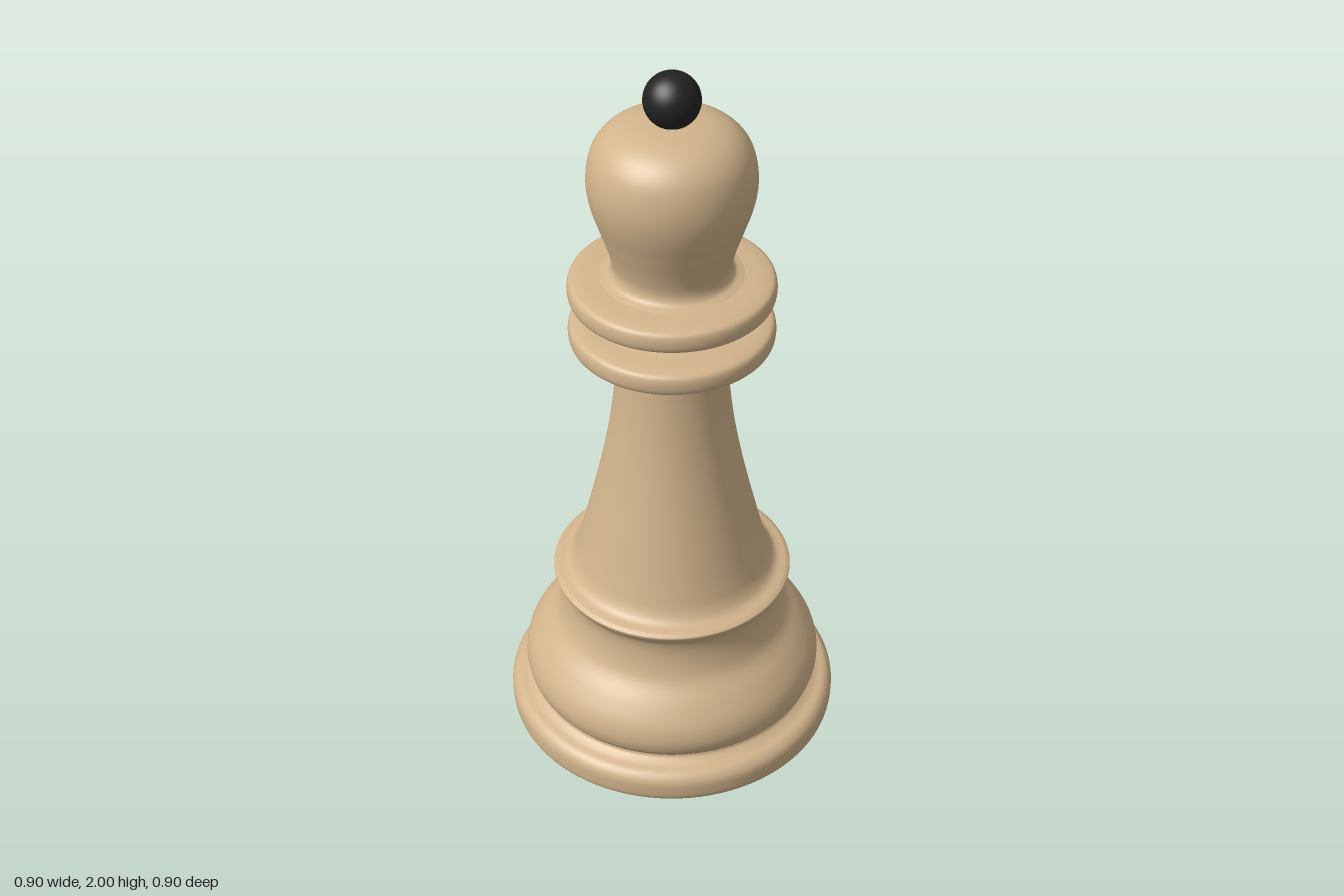
import * as THREE from 'three';

const SEGMENTS = 96;

// Smooth turned section: a curve through [radius, height] points, bottom to top
function turned(name, points, material) {
  const curve = new THREE.CatmullRomCurve3(
    points.map(([r, y]) => new THREE.Vector3(r, y, 0)), false, 'centripetal');
  const profile = curve.getPoints((points.length - 1) * 6)
    .map((p) => new THREE.Vector2(Math.max(p.x, 0), p.y));
  const mesh = new THREE.Mesh(new THREE.LatheGeometry(profile, SEGMENTS), material);
  mesh.name = name;
  return mesh;
}

export function createModel() {
  const group = new THREE.Group();
  group.name = 'chessPiece';
  const wood = new THREE.MeshStandardMaterial({ color: 0xd2b48c });
  const black = new THREE.MeshStandardMaterial({ color: 0x222222 });
  const green = new THREE.MeshStandardMaterial({ color: 0x1c3a2c });

  // Felt pad under the foot
  const felt = new THREE.Mesh(new THREE.CylinderGeometry(0.388, 0.388, 0.035, SEGMENTS), green);
  felt.position.y = 0.0175;
  felt.name = 'feltPad';
  group.add(felt);

  // Rounded foot ring
  group.add(turned('foot', [
    [0.37, 0.03], [0.425, 0.032], [0.445, 0.045], [0.45, 0.075], [0.447, 0.105],
    [0.432, 0.123], [0.405, 0.132], [0.388, 0.143], [0.385, 0.15],
  ], wood));

  // Bulging base up to the flared rim
  group.add(turned('base', [
    [0.385, 0.15], [0.398, 0.17], [0.405, 0.205], [0.395, 0.25], [0.362, 0.3],
    [0.318, 0.35], [0.302, 0.39], [0.295, 0.44], [0.3, 0.475], [0.316, 0.5],
    [0.32, 0.512], [0.31, 0.519],
  ], wood));

  // Tapering stem
  group.add(turned('stem', [
    [0.31, 0.519], [0.282, 0.528], [0.265, 0.55], [0.25, 0.595], [0.218, 0.72],
    [0.188, 0.85], [0.162, 0.99], [0.147, 1.12], [0.144, 1.2], [0.15, 1.23], [0.175, 1.248],
  ], wood));

  // Two collar rings with a waist between them
  group.add(turned('collars', [
    [0.175, 1.248], [0.235, 1.25], [0.257, 1.261], [0.262, 1.287], [0.256, 1.308],
    [0.235, 1.316], [0.175, 1.324], [0.152, 1.335], [0.144, 1.348], [0.152, 1.361],
    [0.175, 1.371], [0.235, 1.376], [0.257, 1.387], [0.262, 1.411], [0.256, 1.433],
    [0.235, 1.441], [0.18, 1.446],
  ], wood));

  // Domed head
  group.add(turned('head', [
    [0.18, 1.446], [0.158, 1.455], [0.15, 1.475], [0.156, 1.515], [0.178, 1.585],
    [0.2, 1.655], [0.208, 1.71], [0.203, 1.765], [0.187, 1.808], [0.155, 1.843],
    [0.11, 1.864], [0.06, 1.872], [0, 1.875],
  ], wood));

  // Ball finial
  const ball = new THREE.Mesh(new THREE.SphereGeometry(0.07, 48, 32), black);
  ball.position.y = 1.93;
  ball.name = 'finialBall';
  group.add(ball);

  return group;
}
